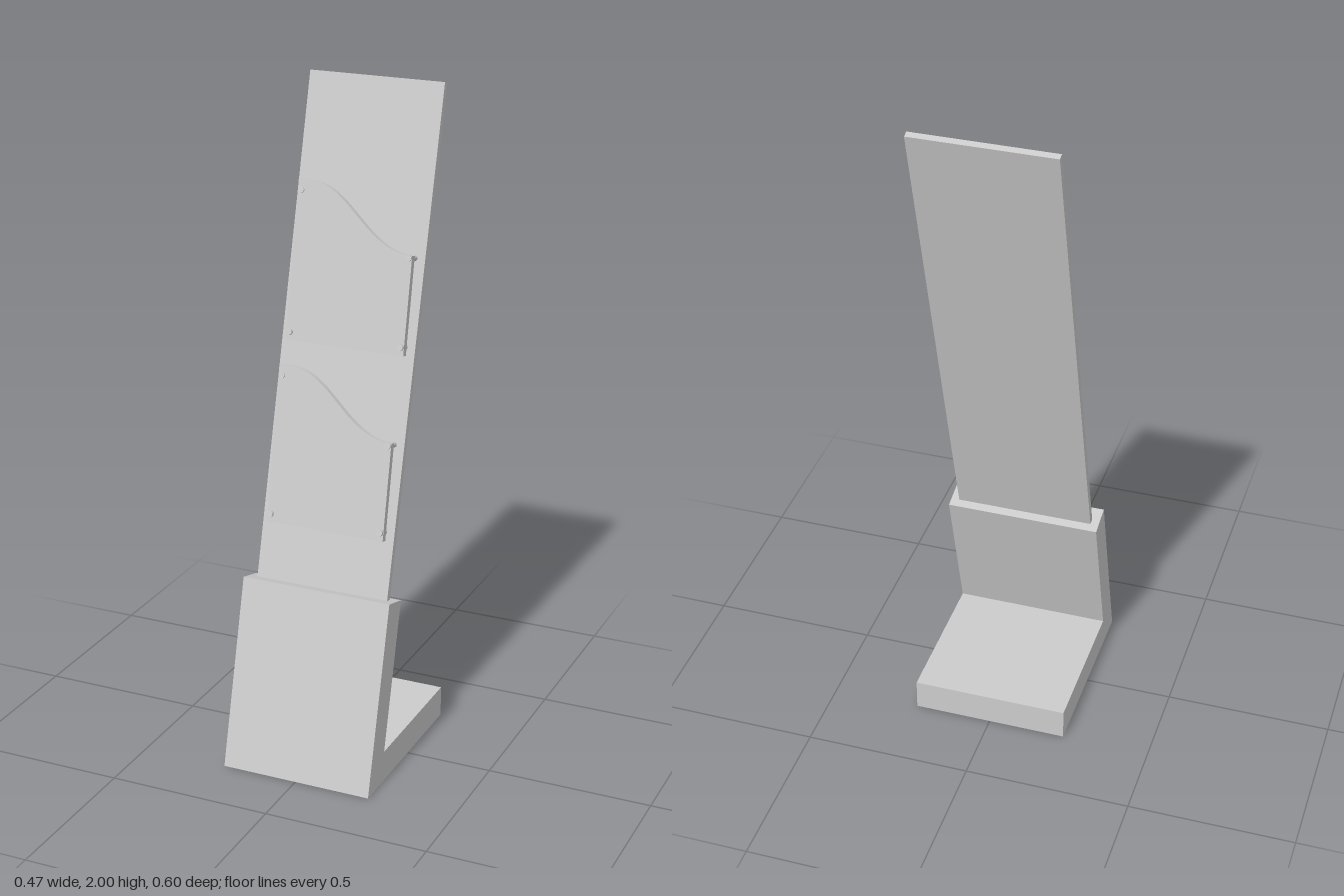
import * as THREE from 'three';

const material = new THREE.MeshStandardMaterial({ color: 0xcccccc });
const LEAN = THREE.MathUtils.degToRad(15); // backward lean of the panel
const TILT = THREE.MathUtils.degToRad(3.3); // pocket plates open slightly forward

function part(name, geometry, parent) {
  const mesh = new THREE.Mesh(geometry, material);
  mesh.name = name;
  parent.add(mesh);
  return mesh;
}

// Standoff pin from the panel (z = 0) out to the given depth, with a wider cap
function addStandoff(parent, x, y, depth) {
  const pin = part('standoffPin', new THREE.CylinderGeometry(0.008, 0.008, depth, 20), parent);
  pin.rotation.x = Math.PI / 2;
  pin.position.set(x, y, depth / 2);
  const cap = part('standoffCap', new THREE.CylinderGeometry(0.0095, 0.0095, 0.012, 20), parent);
  cap.rotation.x = Math.PI / 2;
  cap.position.set(x, y, depth - 0.006);
}

// Brochure pocket: plate with an S-curved top edge, held by four standoffs
function createPocket() {
  const pocket = new THREE.Group();
  pocket.name = 'brochurePocket';

  const shape = new THREE.Shape();
  shape.moveTo(-0.184, 0);
  shape.lineTo(0.188, 0);
  shape.lineTo(0.188, 0.289);
  shape.bezierCurveTo(0.04, 0.289, -0.02, 0.47, -0.144, 0.47);
  shape.lineTo(-0.184, 0.47);
  shape.closePath();
  const geometry = new THREE.ExtrudeGeometry(shape, { depth: 0.02, bevelEnabled: false, curveSegments: 32 });
  geometry.translate(0, 0, -0.02);
  const plate = part('pocketPlate', geometry, pocket);
  plate.position.z = 0.0315;
  plate.rotation.x = TILT;

  // x, height on the plate, how far the cap stands proud of it
  const pins = [[-0.173, 0.025, 0.009], [0.178, 0.025, 0.009], [0.178, 0.282, 0.005], [-0.173, 0.44, 0.004]];
  for (const [x, h, proud] of pins) {
    addStandoff(pocket, x, h * Math.cos(TILT), 0.0315 + h * Math.sin(TILT) + proud);
  }
  return pocket;
}

export function createModel() {
  const model = new THREE.Group();
  model.name = 'brochureStand';

  // L-shaped foot: side profile as (-z, y), extruded across the width
  const profile = new THREE.Shape([
    [-0.3, 0], [0.27, 0], [0.27, 0.095], [-0.182, 0.095], [-0.065, 0.538], [-0.152, 0.561],
  ].map(([a, b]) => new THREE.Vector2(a, b)));
  const footGeometry = new THREE.ExtrudeGeometry(profile, { depth: 0.47, bevelEnabled: false });
  footGeometry.translate(0, 0, -0.235);
  footGeometry.rotateY(Math.PI / 2);
  part('foot', footGeometry, model);

  // Leaning back panel; z = 0 of this group is its front face
  const leaning = new THREE.Group();
  leaning.name = 'leaningPanel';
  leaning.position.set(0, 0.55, 0.11);
  leaning.rotation.x = -LEAN;
  model.add(leaning);
  const length = 1.45 / Math.cos(LEAN);
  const panel = part('backPanel', new THREE.BoxGeometry(0.42, length + 0.02, 0.02), leaning);
  panel.position.set(0, length / 2 - 0.01, -0.01);

  // Two pockets, one above the other
  for (const height of [0.175, 0.716]) {
    const pocket = createPocket();
    pocket.position.y = height;
    leaning.add(pocket);
  }
  return model;
}
